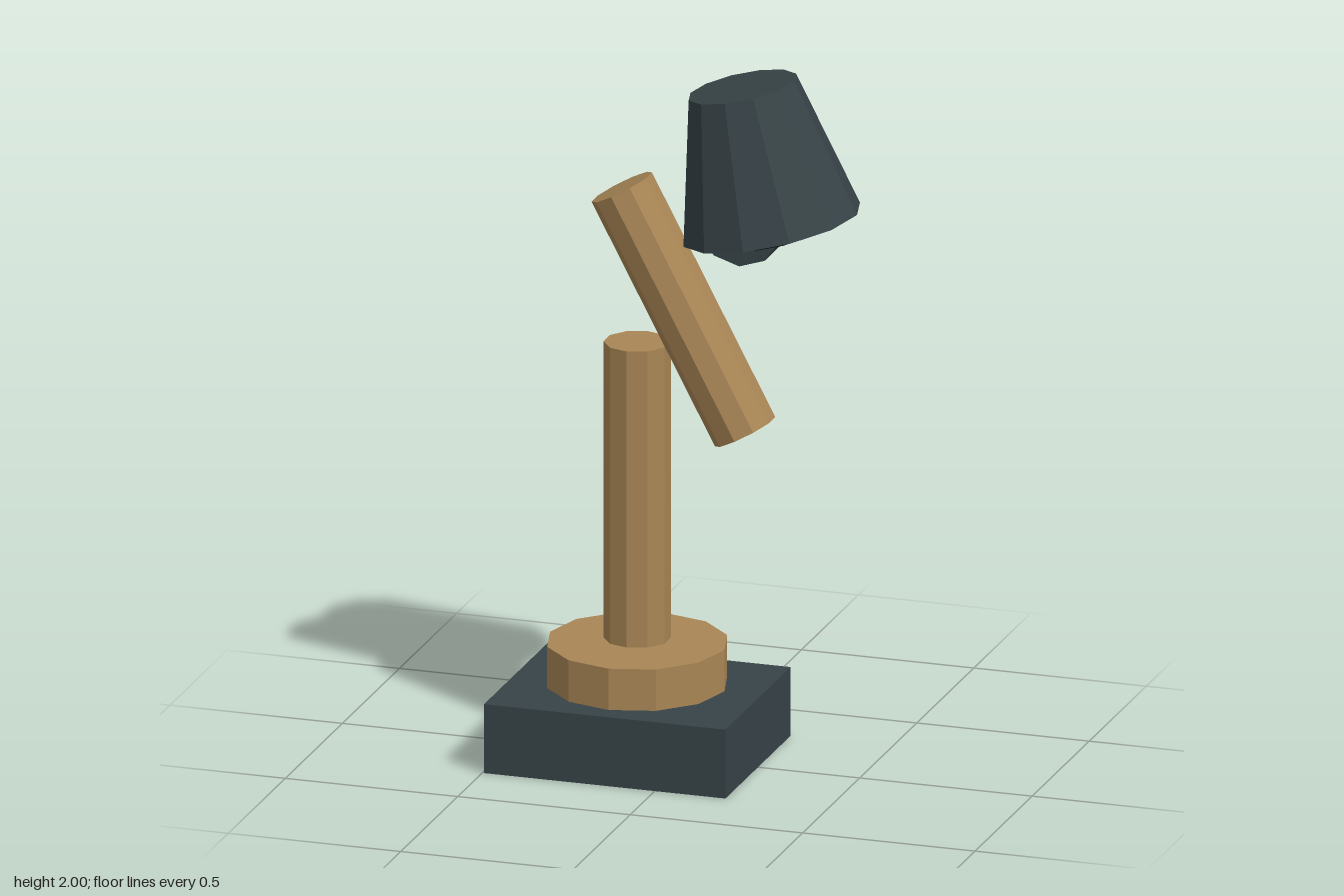
import * as THREE from 'three';

export function createModel() {
  const model = new THREE.Group();
  const paint = (color) => new THREE.MeshStandardMaterial({ color, flatShading: true });
  const slate = paint(0x374347);
  const wood = paint(0xa98655);
  const black = paint(0x121414);

  const add = (name, geometry, material, x, y, z = 0, parent = model) => {
    const mesh = new THREE.Mesh(geometry, material);
    mesh.name = name;
    mesh.position.set(x, y, z);
    parent.add(mesh);
    return mesh;
  };
  const cylinder = (top, bottom, height, sides) =>
    new THREE.CylinderGeometry(top, bottom, height, sides);

  // Stand: block, round plate and upright post share one axis
  const standX = -0.145;
  add('base', new THREE.BoxGeometry(0.7, 0.2, 0.57), slate, standX, 0.1);
  add('basePlate', cylinder(0.253, 0.253, 0.12, 12), wood, standX, 0.27);
  add('lowerArm', cylinder(0.093, 0.093, 0.86, 10), wood, standX, 0.77);

  // Upper arm leans across the top of the post
  const upperArm = add('upperArm', cylinder(0.093, 0.093, 0.762, 10), wood, -0.011, 1.307);
  upperArm.rotation.z = THREE.MathUtils.degToRad(28);

  // Tilted lamp head, with its origin at the centre of the rim
  const head = new THREE.Group();
  head.name = 'lampHead';
  head.position.set(0.245, 1.58, 0);
  head.rotation.z = THREE.MathUtils.degToRad(12.3);
  model.add(head);
  add('shade', cylinder(0.154, 0.253, 0.4, 12), slate, 0, 0.2, 0, head);

  // Dark ring and recess under the shade
  const ring = new THREE.TorusGeometry(0.14, 0.03, 8, 12).rotateX(Math.PI / 2);
  add('shadeRing', ring, black, 0, 0, 0, head);
  add('shadeRecess', cylinder(0.13, 0.13, 0.01, 12), black, 0, 0, 0, head);

  // Horizontal drum showing below the shade
  const drum = cylinder(0.125, 0.125, 0.176, 10).rotateX(Math.PI / 2);
  add('headJoint', drum, slate, 0.18, 1.605);

  return model;
}
